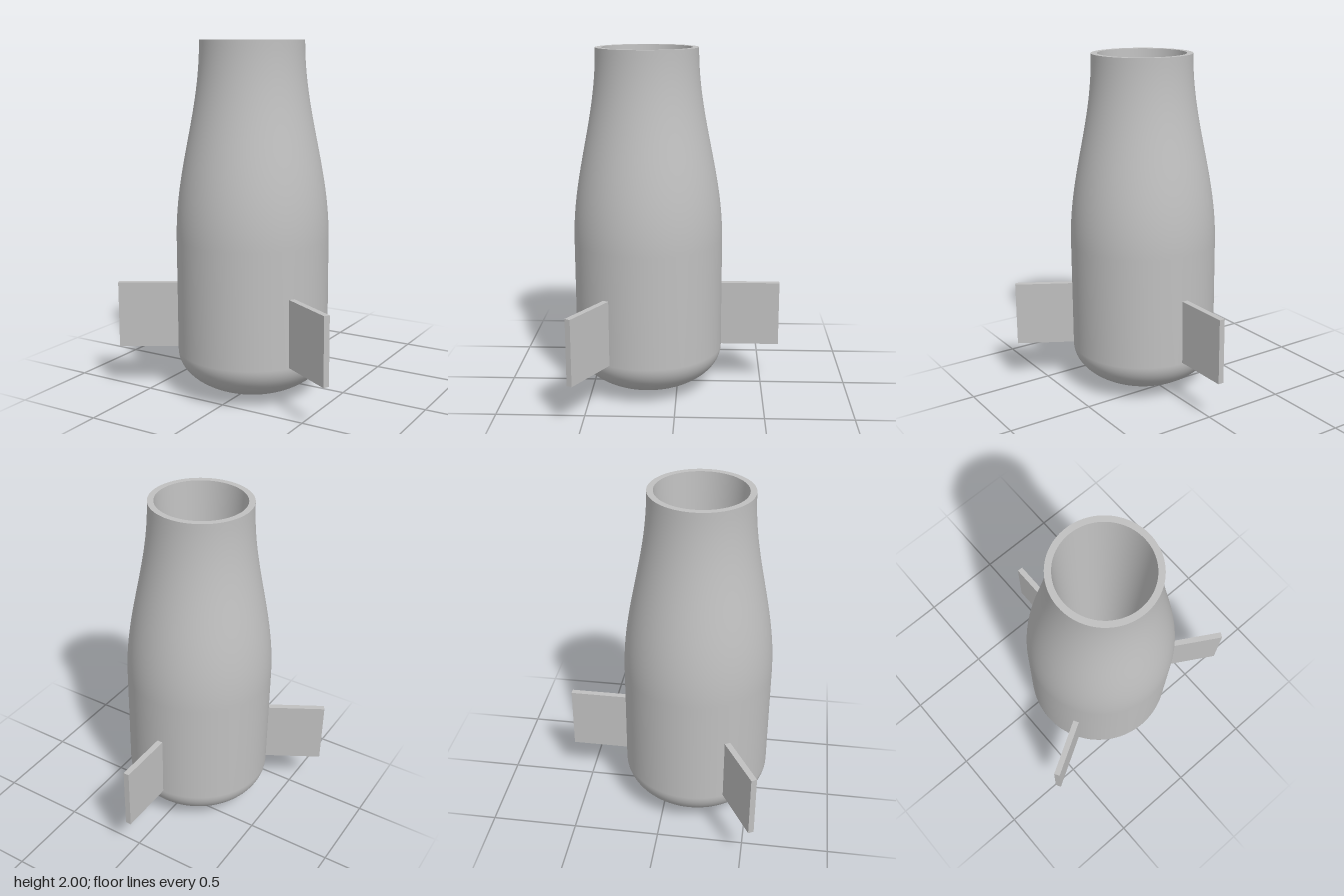
import * as THREE from 'three';

const AXIS_Z = 0.17;   // body axis is offset so the finned model is centred
const R_BODY = 0.43, R_TOP = 0.29, R_BORE = 0.255, R_FLOOR = 0.16;
const Y_BASE = 0.25, Y_SHOULDER = 0.9, Y_TOP = 2, Y_FLOOR = 0.4;

export function createModel() {
  const grey = new THREE.MeshStandardMaterial({ color: 0xc0c0c0 });
  grey.name = 'plain grey';
  const model = new THREE.Group();
  model.name = 'finnedBody';
  model.position.z = AXIS_Z;

  const add = (name, geometry, parent = model) => {
    const mesh = new THREE.Mesh(geometry, grey);
    mesh.name = name;
    parent.add(mesh);
    return mesh;
  };
  const lathe = (name, pairs) =>
    add(name, new THREE.LatheGeometry(pairs.map(([r, y]) => new THREE.Vector2(r, y)), 96));

  // Outer shell: elliptical base, straight wall, smooth taper to the neck
  const shell = [];
  for (let i = 0; i <= 20; i++) {
    const a = (i / 20) * Math.PI / 2;
    shell.push([R_BODY * Math.sin(a), Y_BASE - (Y_BASE - 0.005) * Math.cos(a)]);
  }
  for (let i = 0; i <= 28; i++) {
    const t = i / 28;
    const ease = (1 - Math.cos(Math.PI * t)) / 2;
    shell.push([R_BODY + (R_TOP - R_BODY) * ease, Y_SHOULDER + (Y_TOP - Y_SHOULDER) * t]);
  }
  lathe('outerShell', shell);

  // Open mouth: flat rim, tapering bore and flat floor
  lathe('rim', [[R_TOP, Y_TOP], [R_BORE, Y_TOP]]);
  lathe('bore', [[R_BORE, Y_TOP], [R_FLOOR, Y_FLOOR]]);
  lathe('boreFloor', [[R_FLOOR, Y_FLOOR], [0, Y_FLOOR]]);

  // Three flat fins around the lower body, one straight back
  const inner = 0.4, outer = 0.77;
  ['backFin', 'rightFin', 'leftFin'].forEach((name, i) => {
    const pivot = new THREE.Group();
    pivot.name = name;
    pivot.rotation.y = i * Math.PI * 2 / 3;
    const fin = add(name + 'Plate', new THREE.BoxGeometry(0.034, 0.38, outer - inner), pivot);
    fin.position.set(0, 0.445, -(inner + outer) / 2);
    model.add(pivot);
  });

  const root = new THREE.Group();
  root.name = 'model';
  root.add(model);
  return root;
}
